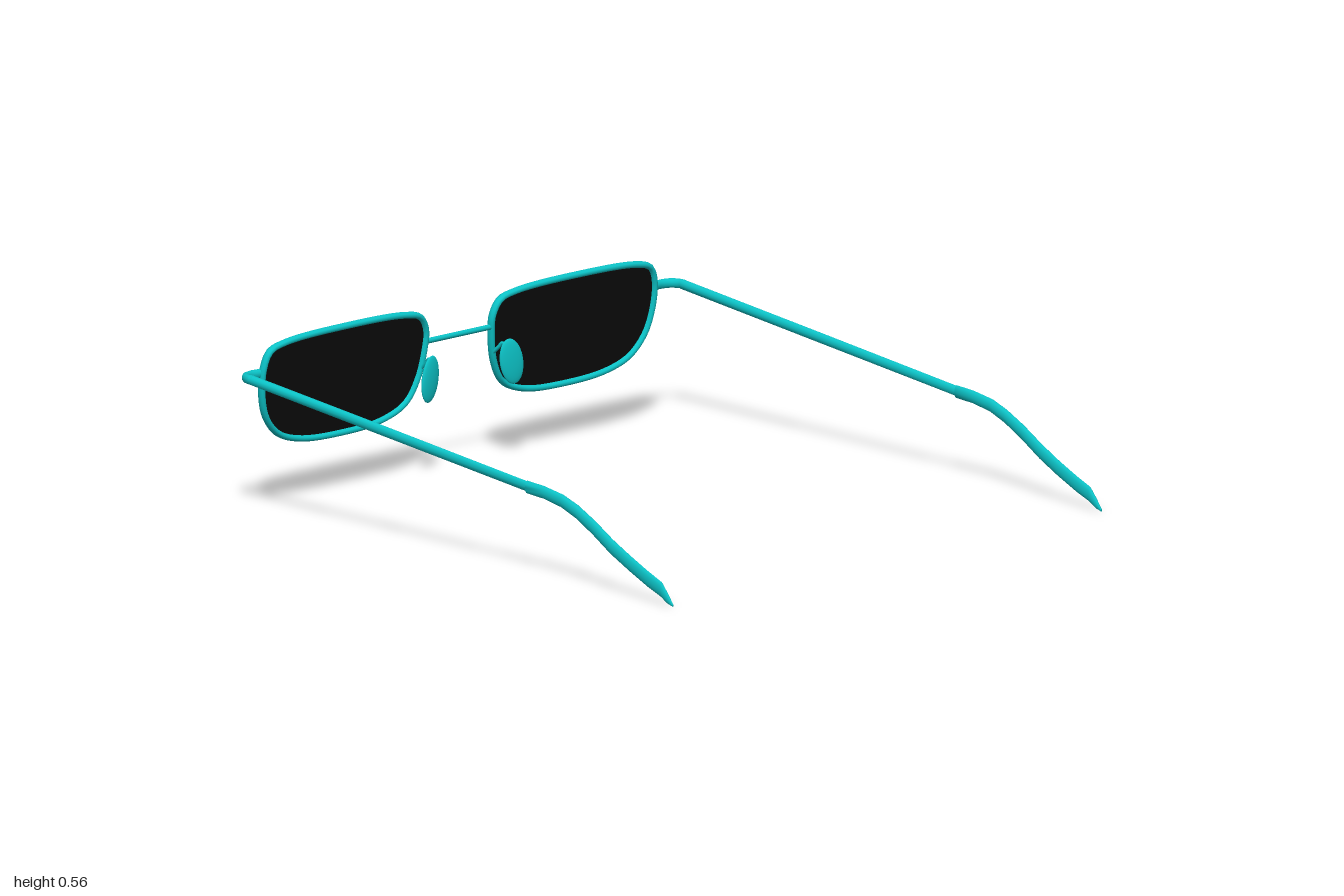
import * as THREE from 'three';

const V = (x, y, z) => new THREE.Vector3(x, y, z);
const teal = new THREE.MeshStandardMaterial({ color: 0x0cc4c8 });
const black = new THREE.MeshStandardMaterial({ color: 0x0a0a0a, side: THREE.DoubleSide });

function add(parent, name, geometry, material = teal) {
  const mesh = new THREE.Mesh(geometry, material);
  mesh.name = name;
  parent.add(mesh);
  return mesh;
}

function tube(points, radius, segments = 24) {
  return new THREE.TubeGeometry(new THREE.CatmullRomCurve3(points), segments, radius, 10);
}

// Elliptical rings in the xy plane, joined along +z, capped at both ends.
// Each section is [x, y, z, half width, half height].
function loft(sections, sides = 12) {
  const pos = [], index = [];
  for (const [x, y, z, w, h] of sections)
    for (let i = 0; i < sides; i++) {
      const a = (i / sides) * Math.PI * 2;
      pos.push(x + w * Math.cos(a), y + h * Math.sin(a), z);
    }
  const last = (sections.length - 1) * sides;
  for (let r = 0; r < last; r += sides)
    for (let i = 0; i < sides; i++) {
      const a = r + i, b = r + (i + 1) % sides;
      index.push(a, b, b + sides, a, b + sides, a + sides);
    }
  for (let i = 1; i < sides - 1; i++)
    index.push(0, i + 1, i, last, last + i, last + i + 1);
  const g = new THREE.BufferGeometry();
  g.setAttribute('position', new THREE.Float32BufferAttribute(pos, 3));
  g.setIndex(index);
  g.computeVertexNormals();
  return g;
}

function makeSide() {
  const side = new THREE.Group();

  // Rim and lens, drawn flat about their middle height and then tilted
  const front = new THREE.Group();
  front.name = 'lensFrame';
  front.position.set(0, 0.37, -0.949);
  front.rotation.x = 0.106;
  side.add(front);
  const outline = new THREE.CatmullRomCurve3([
    [0.888, 0.465], [0.865, 0.518], [0.80, 0.538], [0.52, 0.549], [0.25, 0.54],
    [0.18, 0.522], [0.152, 0.475], [0.152, 0.42], [0.173, 0.32], [0.22, 0.245],
    [0.32, 0.204], [0.52, 0.191], [0.70, 0.203], [0.80, 0.237], [0.86, 0.30], [0.886, 0.38],
  ].map(([x, y]) => V(x, y - 0.37, 0)), true);
  const rim = new THREE.TubeGeometry(outline, 96, 0.0105, 10, true);
  rim.scale(1, 1, 1.25);
  add(front, 'rim', rim);
  add(front, 'lens', new THREE.ShapeGeometry(new THREE.Shape(outline.getPoints(96))), black);

  // End piece curving back from the rim to the temple
  const end = tube([V(0.885, 0, -0.946), V(0.935, 0, -0.952), V(0.968, 0, -0.94),
    V(0.981, 0, -0.915), V(0.981, 0, -0.89)], 0.012);
  end.scale(1, 1.3, 1);
  end.translate(0, 0.449, 0);
  add(side, 'endPiece', end);

  // Straight temple and its curved ear tip
  add(side, 'temple', loft([
    [0.98, 0.449, -0.905, 0.015, 0.016], [0.978, 0.37, -0.28, 0.012, 0.017],
    [0.976, 0.291, 0.34, 0.01, 0.017],
  ]));
  add(side, 'earTip', loft([
    [0.976, 0.291, 0.325, 0.012, 0.021], [0.976, 0.285, 0.40, 0.012, 0.021],
    [0.976, 0.27, 0.48, 0.012, 0.022], [0.975, 0.245, 0.545, 0.012, 0.023],
    [0.975, 0.205, 0.62, 0.011, 0.025], [0.975, 0.155, 0.70, 0.011, 0.026],
    [0.974, 0.113, 0.78, 0.01, 0.026], [0.974, 0.075, 0.86, 0.009, 0.026],
    [0.974, 0.05, 0.92, 0.008, 0.025], [0.974, 0.025, 0.948, 0.006, 0.017],
    [0.974, 0.005, 0.972, 0.003, 0.004],
  ]));

  // Nose pad on its bent wire
  const pad = add(side, 'nosePad', new THREE.SphereGeometry(1, 24, 16));
  pad.scale.set(0.045, 0.076, 0.011);
  pad.position.set(0.185, 0.327, -0.885);
  pad.rotation.set(0, -0.17, 0.2);
  add(side, 'padWire', tube([V(0.162, 0.35, -0.945), V(0.165, 0.372, -0.922),
    V(0.168, 0.386, -0.908), V(0.173, 0.372, -0.895), V(0.178, 0.345, -0.888)], 0.006));
  return side;
}

export function createModel() {
  const group = new THREE.Group();
  group.name = 'glasses';
  const left = makeSide(), right = makeSide();
  left.name = 'leftSide';
  right.name = 'rightSide';
  right.scale.x = -1;
  group.add(left, right);

  // Bridge between the rims
  const bridge = add(group, 'bridge', new THREE.CylinderGeometry(0.009, 0.009, 0.3, 12));
  bridge.rotation.z = Math.PI / 2;
  bridge.position.set(0, 0.436, -0.942);

  // The whole frame sits very slightly turned
  const model = new THREE.Group();
  model.add(group);
  group.rotation.y = -0.0115;
  group.position.x = -0.011;
  return model;
}
